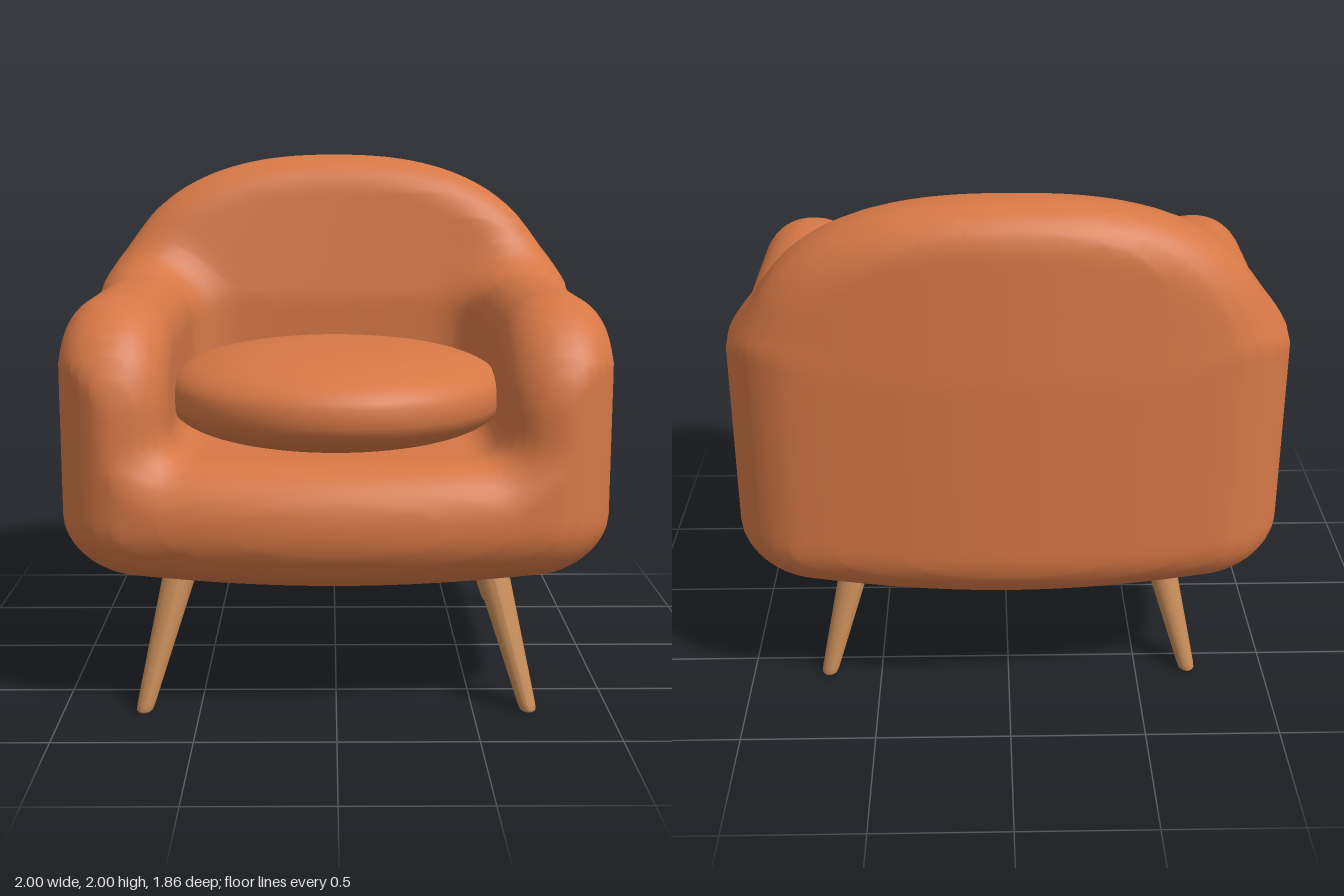
import * as THREE from 'three';

const fabric = new THREE.MeshStandardMaterial({ color: 0xd67846 });
fabric.name = 'terracotta fabric';
const wood = new THREE.MeshStandardMaterial({ color: 0xc68c58 });
wood.name = 'oak wood';

const { abs, max, min, hypot, pow } = Math;
const clamp01 = (t) => min(max(t, 0), 1);

// Distance helpers: rounded boxes of any dimension, rounded extrusion, soft union
const rounded = (q, r) => hypot(...q.map((v) => max(v + r, 0))) + min(max(...q) + r, 0) - r;
const softUnion = (a, b, k) => {
  const h = max(k - abs(a - b), 0) / k;
  return min(a, b) - h * h * k / 4;
};

// The upholstered shell as a distance field: seat base + arms + back, trimmed by an outer hull
function shellField(px, py, pz) {
  const x = abs(px);
  const z = pz * (1 + 0.16 * x * x); // front and rear bow outward
  const y = py - 0.07 * (x * x + pz * pz) * clamp01((0.8 - py) / 0.35); // belly sags

  const base = rounded([x - 1, abs(py - 0.5) - 0.44, abs(z) - 0.93], 0.2);

  const armSide = rounded([abs(pz + 0.01) - 0.84, abs(py - 0.655) - 0.855], 0.4);
  const arm = rounded([armSide, abs(x - 0.8) - 0.2], 0.19);

  const rise = max(py - 1.3, 0);
  const arch = (pow(pow(x / 0.94, 2.4) + pow(rise / 0.7, 2.4), 1 / 2.4) - 1) * 0.8;
  const t = max(py - 1.4, 0);
  const back = rounded(
    [max(arch, 0.65 - py), abs(z + 0.695 + 0.05 * t) - (0.235 - 0.11 * t)], 0.16);

  const hull = rounded([x - 1, abs(y - 1.42) - 0.98, abs(z) - 0.93], 0.26);
  return max(softUnion(softUnion(arm, back, 0.2), base, 0.13), hull);
}

// Turns a distance field into a smooth quad mesh: one vertex per crossed grid cell
function meshField(field, lo, hi, step) {
  const n = lo.map((v, a) => Math.round((hi[a] - v) / step) + 1);
  const stride = [1, n[0], n[0] * n[1]];
  const at = (i, j, k) => i + j * stride[1] + k * stride[2];
  const values = new Float32Array(n[0] * n[1] * n[2]);
  const eachCell = (visit) => {
    for (let k = 0; k < n[2]; k++)
      for (let j = 0; j < n[1]; j++)
        for (let i = 0; i < n[0]; i++) visit(i, j, k);
  };
  eachCell((i, j, k) => {
    values[at(i, j, k)] = field(lo[0] + i * step, lo[1] + j * step, lo[2] + k * step);
  });

  const positions = [], index = [], vertexOf = new Map();
  eachCell((i, j, k) => {
    if (i === n[0] - 1 || j === n[1] - 1 || k === n[2] - 1) return;
    const sum = [0, 0, 0];
    let hits = 0;
    for (let c = 0; c < 8; c++) {
      for (let a = 0; a < 3; a++) {
        if (c & (1 << a)) continue;
        const o = [c & 1, (c >> 1) & 1, (c >> 2) & 1];
        const s = at(i + o[0], j + o[1], k + o[2]);
        const v0 = values[s], v1 = values[s + stride[a]];
        if ((v0 < 0) === (v1 < 0)) continue;
        o[a] += v0 / (v0 - v1);
        for (let b = 0; b < 3; b++) sum[b] += o[b];
        hits++;
      }
    }
    if (!hits) return;
    const p = [i, j, k].map((g, a) => lo[a] + (g + sum[a] / hits) * step);
    // Settle the vertex on the surface
    for (let pass = 0; pass < 2; pass++) {
      const e = 0.002, f = field(...p);
      const g = p.map((_, a) => {
        const q = p.slice(), r = p.slice();
        q[a] += e;
        r[a] -= e;
        return (field(...q) - field(...r)) / (2 * e);
      });
      const g2 = max(g[0] ** 2 + g[1] ** 2 + g[2] ** 2, 0.2);
      const move = min(max(f / g2, -step / 2), step / 2);
      for (let a = 0; a < 3; a++) p[a] -= move * g[a];
    }
    vertexOf.set(at(i, j, k), positions.length / 3);
    positions.push(...p);
  });

  // A quad around every grid edge that crosses the surface
  eachCell((i, j, k) => {
    const cell = [i, j, k], s = at(i, j, k);
    for (let a = 0; a < 3; a++) {
      const b = (a + 1) % 3, c = (a + 2) % 3;
      if (cell[a] === n[a] - 1 || !cell[b] || !cell[c]) continue;
      const inside = values[s] < 0;
      if (inside === (values[s + stride[a]] < 0)) continue;
      const quad = [s, s - stride[b], s - stride[b] - stride[c], s - stride[c]]
        .map((id) => vertexOf.get(id));
      if (!inside) quad.reverse();
      index.push(quad[0], quad[1], quad[2], quad[0], quad[2], quad[3]);
    }
  });

  const geometry = new THREE.BufferGeometry();
  geometry.setAttribute('position', new THREE.Float32BufferAttribute(positions, 3));
  geometry.setIndex(index);
  geometry.computeVertexNormals();
  return geometry;
}

// Plump round cushion with a squarish rim
function cushionGeometry() {
  const profile = [];
  const steps = 28, e = 2 / 2.5;
  for (let i = 0; i <= steps; i++) {
    const a = -Math.PI / 2 + Math.PI * i / steps;
    const c = i % steps ? Math.cos(a) : 0, s = Math.sin(a);
    profile.push(new THREE.Vector2(0.65 * pow(c, e), 0.19 * Math.sign(s) * pow(abs(s), e)));
  }
  return new THREE.LatheGeometry(profile, 56);
}

// Tapered leg, sheared outward so that its foot stays flat on the floor
function legGeometry(dx, dz) {
  const profile = [[0, 0], [0.022, 0], [0.03, 0.008], [0.033, 0.03], [0.062, 0.48], [0.066, 0.58], [0, 0.58]];
  const geometry = new THREE.LatheGeometry(profile.map(([r, y]) => new THREE.Vector2(r, y)), 20);
  const p = geometry.attributes.position;
  for (let i = 0; i < p.count; i++) {
    p.setX(i, p.getX(i) + dx * p.getY(i));
    p.setZ(i, p.getZ(i) + dz * p.getY(i));
  }
  geometry.computeVertexNormals();
  return geometry;
}

export function createModel() {
  const group = new THREE.Group();
  group.name = 'armchair';
  const add = (name, geometry, material, x = 0, y = 0, z = 0) => {
    const mesh = new THREE.Mesh(geometry, material);
    mesh.name = name;
    mesh.position.set(x, y, z);
    group.add(mesh);
  };

  add('upholsteredShell', meshField(shellField, [-1.05, 0.35, -1.015], [1.05, 2.1, 1.015], 0.035), fabric);
  add('seatCushion', cushionGeometry(), fabric, 0, 1.105, 0.18);

  // Four splayed legs
  for (const side of [1, -1]) {
    const word = side > 0 ? 'Left' : 'Right';
    add('front' + word + 'Leg', legGeometry(-0.26 * side, -0.29), wood, 0.705 * side, 0, 0.715);
    add('back' + word + 'Leg', legGeometry(-0.26 * side, 0.26), wood, 0.705 * side, 0, -0.595);
  }
  return group;
}
